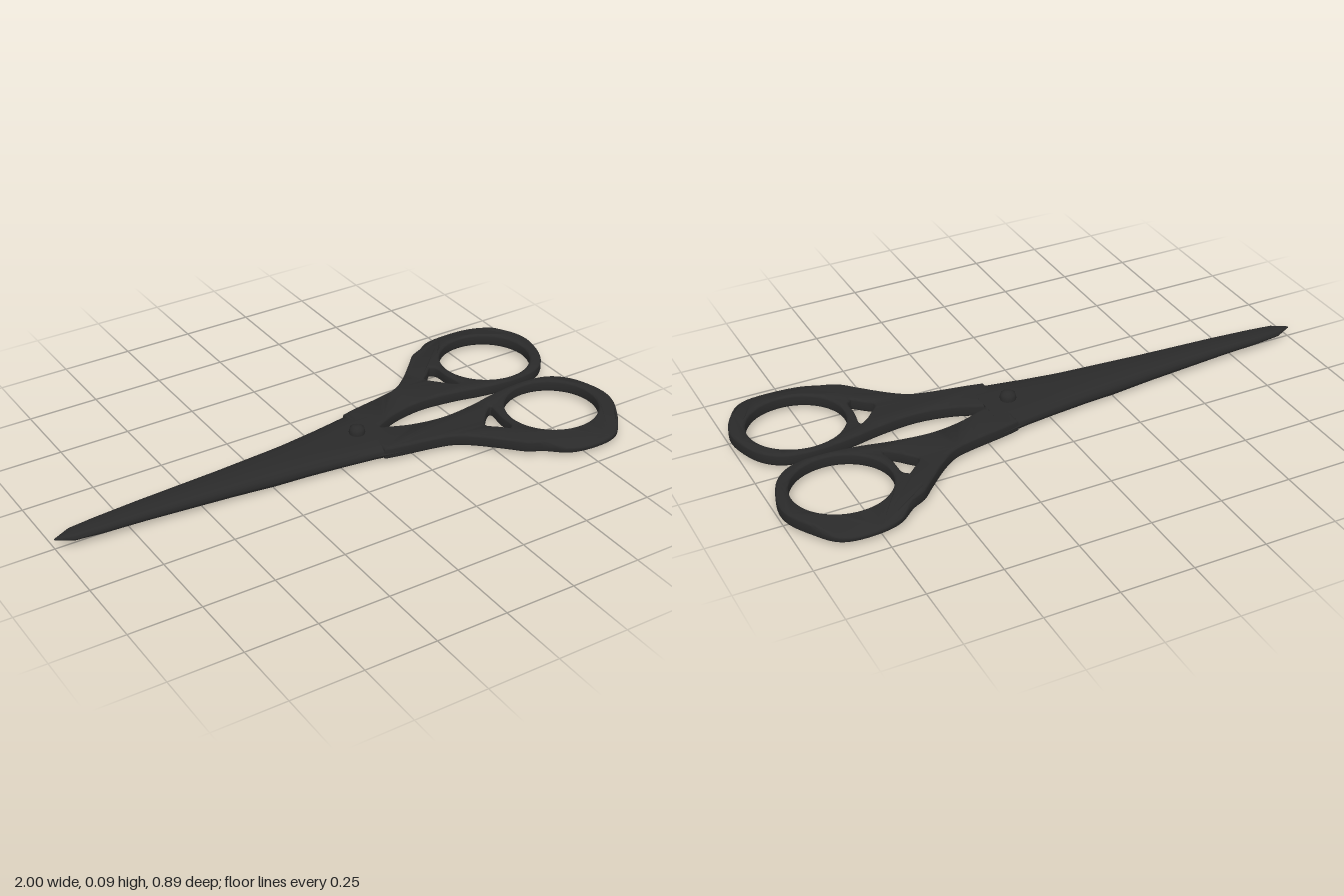
import * as THREE from 'three';
import { toCreasedNormals } from 'three/addons/utils/BufferGeometryUtils.js';

// Blade stations: x, half width, top y, bottom y
const STATIONS = [
  [-1, 0.002, 0.037, 0.033], [-0.94, 0.029, 0.046, 0.024], [-0.85, 0.037, 0.05, 0.02],
  [-0.7, 0.045, 0.055, 0.017], [-0.4, 0.065, 0.057, 0.008], [-0.25, 0.079, 0.058, 0.003],
  [-0.13, 0.09, 0.058, 0.005], [0, 0.108, 0.058, 0.008], [0.1, 0.125, 0.058, 0.011],
  [0.2, 0.145, 0.057, 0.012],
];
// Half cross-section: fraction of width, fraction of height
const SECTION = [
  [0, 1], [0.5, 0.98], [0.8, 0.9], [0.95, 0.72], [1, 0.42], [0.95, 0.16], [0.8, 0.05], [0.4, 0], [0, 0],
];

// One side of the blade, lofted along x; s is the sign of z
function bladeGeometry(s) {
  const pos = [], index = [], n = SECTION.length;
  const face = (a, b, c) => (s > 0 ? index.push(a, b, c) : index.push(a, c, b));
  STATIONS.forEach(([x, w, top, bottom], i) => {
    SECTION.forEach(([u, v], j) => {
      pos.push(x, bottom + v * (top - bottom), s * u * w);
      if (i < STATIONS.length - 1 && j < n - 1) {
        const a = i * n + j;
        face(a, a + 1, a + n);
        face(a + n, a + 1, a + n + 1);
      }
    });
  });
  const end = (STATIONS.length - 1) * n;
  for (let j = 1; j < n - 1; j++) face(end, end + j, end + j + 1);
  const g = new THREE.BufferGeometry();
  g.setAttribute('position', new THREE.Float32BufferAttribute(pos, 3));
  g.setIndex(index);
  return toCreasedNormals(g, 0.9);
}

// Shank and finger loop; points are x and distance from the centre line
const OUTLINE = [
  [0.14, 0.131], [0.2, 0.144], [0.32, 0.165], [0.39, 0.185], [0.45, 0.228], [0.52, 0.295], [0.57, 0.345],
  [0.62, 0.372], [0.68, 0.42], [0.75, 0.44], [0.84, 0.44], [0.9, 0.415], [0.95, 0.35], [0.99, 0.275],
  [0.997, 0.2], [0.965, 0.1], [0.91, 0.04], [0.84, 0.017], [0.75, 0.015], [0.65, 0.028], [0.55, 0.049],
  [0.42, 0.062], [0.3, 0.043], [0.2, 0.002],
];
const SMALL_HOLE = [
  [0.575, 0.24], [0.545, 0.212], [0.515, 0.18], [0.545, 0.14], [0.575, 0.108], [0.603, 0.095],
  [0.594, 0.16], [0.592, 0.22],
];

function handleGeometry(s) {
  const vec = ([x, d]) => new THREE.Vector2(x, -s * d);
  const outer = new THREE.SplineCurve(OUTLINE.map(vec)).getPoints(92);
  const shape = new THREE.Shape([...outer, vec([0.14, 0.002])]);
  const hole = new THREE.SplineCurve([...SMALL_HOLE, SMALL_HOLE[0]].map(vec)).getPoints(32);
  shape.holes.push(new THREE.Path(hole.slice(0, -1)));
  const loop = new THREE.Path();
  loop.absellipse(0.785, -s * 0.196, 0.165, 0.158, 0, Math.PI * 2);
  shape.holes.push(new THREE.Path(loop.getPoints(40).slice(0, -1)));

  const b = 0.009;
  const g = new THREE.ExtrudeGeometry(shape, {
    depth: 0.044 - 2 * b, bevelEnabled: true, bevelSize: b, bevelOffset: -b,
    bevelThickness: b, bevelSegments: 3, curveSegments: 12,
  });
  g.rotateX(-Math.PI / 2).translate(0, 0.012 + b, 0);

  // Slope the outer rim of the loop down towards its edge
  const p = g.attributes.position;
  for (let i = 0; i < p.count; i++) {
    const t = Math.max(0, Math.abs(p.getZ(i)) - 0.36) / 0.08;
    p.setY(i, 0.012 + (p.getY(i) - 0.012) * (1 - 0.6 * t));
  }
  return toCreasedNormals(g, 0.8);
}

export function createModel() {
  const group = new THREE.Group();
  const black = new THREE.MeshStandardMaterial({ color: 0x2a2a2a });
  black.name = 'charcoal black';
  const add = (name, geometry) => {
    const mesh = new THREE.Mesh(geometry, black);
    mesh.name = name;
    group.add(mesh);
    return mesh;
  };

  // Mirrored halves
  for (const [side, s] of [['front', 1], ['back', -1]]) {
    add(side + 'Blade', bladeGeometry(s));
    add(side + 'Handle', handleGeometry(s));
  }

  // Pivot screw with a domed head above and a flat end below
  const profile = [
    [0, 0], [0.026, 0], [0.026, 0.05], [0.028, 0.064], [0.025, 0.078], [0.014, 0.085], [0, 0.087],
  ].map(([r, y]) => new THREE.Vector2(r, y));
  add('pivotScrew', new THREE.LatheGeometry(profile, 12)).position.x = 0.113;

  return group;
}
